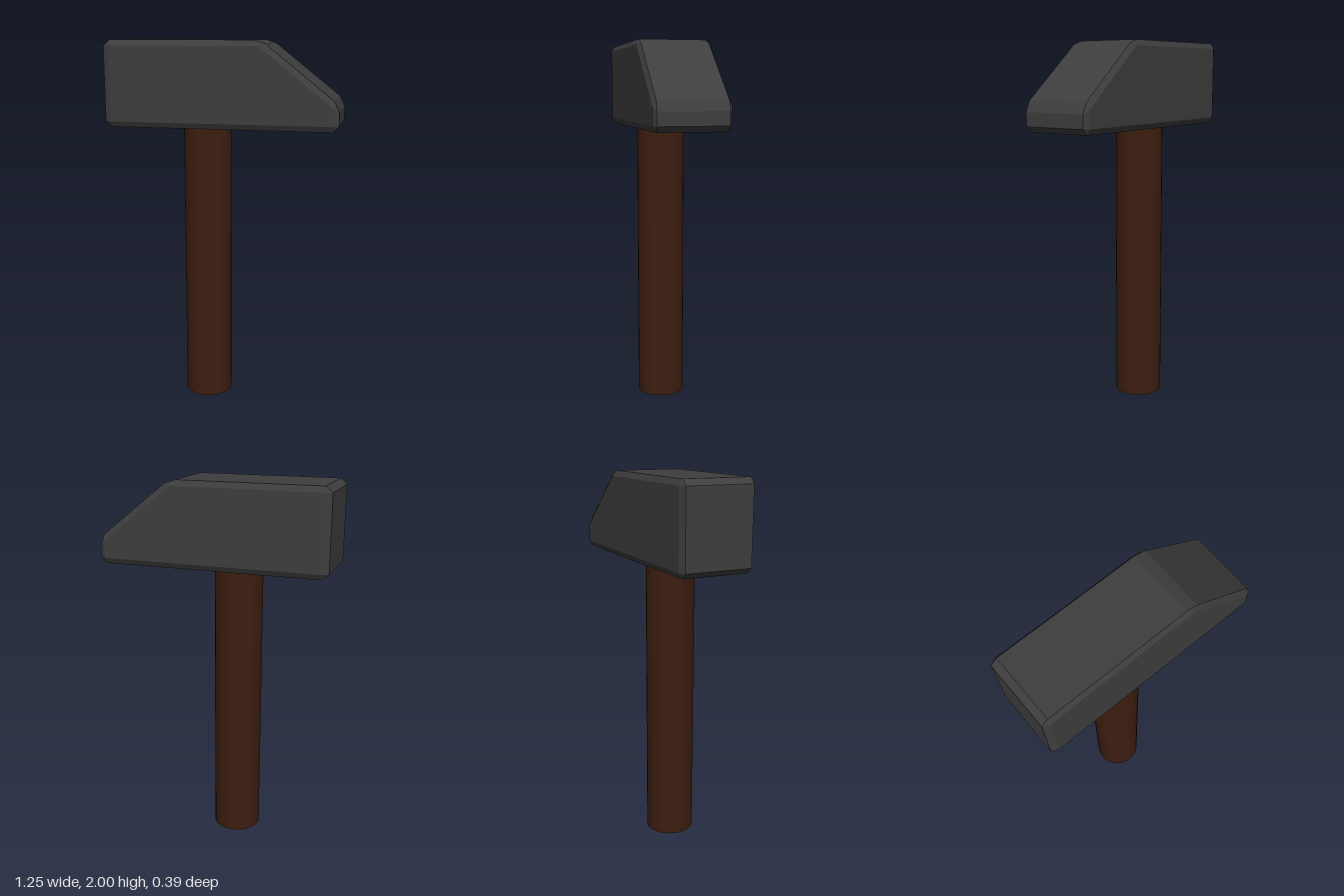
import * as THREE from 'three';
import { ConvexGeometry } from 'three/addons/geometries/ConvexGeometry.js';

function addPart(group, name, geometry, color, flatShading) {
  const mesh = new THREE.Mesh(geometry, new THREE.MeshStandardMaterial({ color, flatShading }));
  mesh.name = name;
  group.add(mesh);
  return mesh;
}

// Wedge-nosed block with chamfered edges: a wide rim and slightly inset side faces
function headGeometry() {
  const rim = [
    [-0.625, 1.575], [-0.59, 1.545], [0.59, 1.545], [0.62, 1.575], [0.62, 1.645],
    [0.595, 1.7], [0.24, 1.98], [0.18, 2], [-0.59, 2], [-0.625, 1.97],
  ];
  const face = [[-0.59, 1.575], [0.59, 1.575], [0.59, 1.666], [0.204, 1.97], [-0.59, 1.97]];
  const points = [];
  for (const side of [-1, 1]) {
    for (const [x, y] of rim) points.push(new THREE.Vector3(x, y, side * 0.178));
    for (const [x, y] of face) points.push(new THREE.Vector3(x, y, side * 0.195));
  }
  return new ConvexGeometry(points);
}

export function createModel() {
  const hammer = new THREE.Group();
  hammer.name = 'hammer';

  addPart(hammer, 'head', headGeometry(), 0x3e3e3e, true);

  // Round wooden handle, set a little way into the head
  const handle = addPart(hammer, 'handle', new THREE.CylinderGeometry(0.13, 0.13, 1.6, 32), 0x3d1e10, false);
  handle.position.set(-0.105, 0.8, 0);

  return hammer;
}
